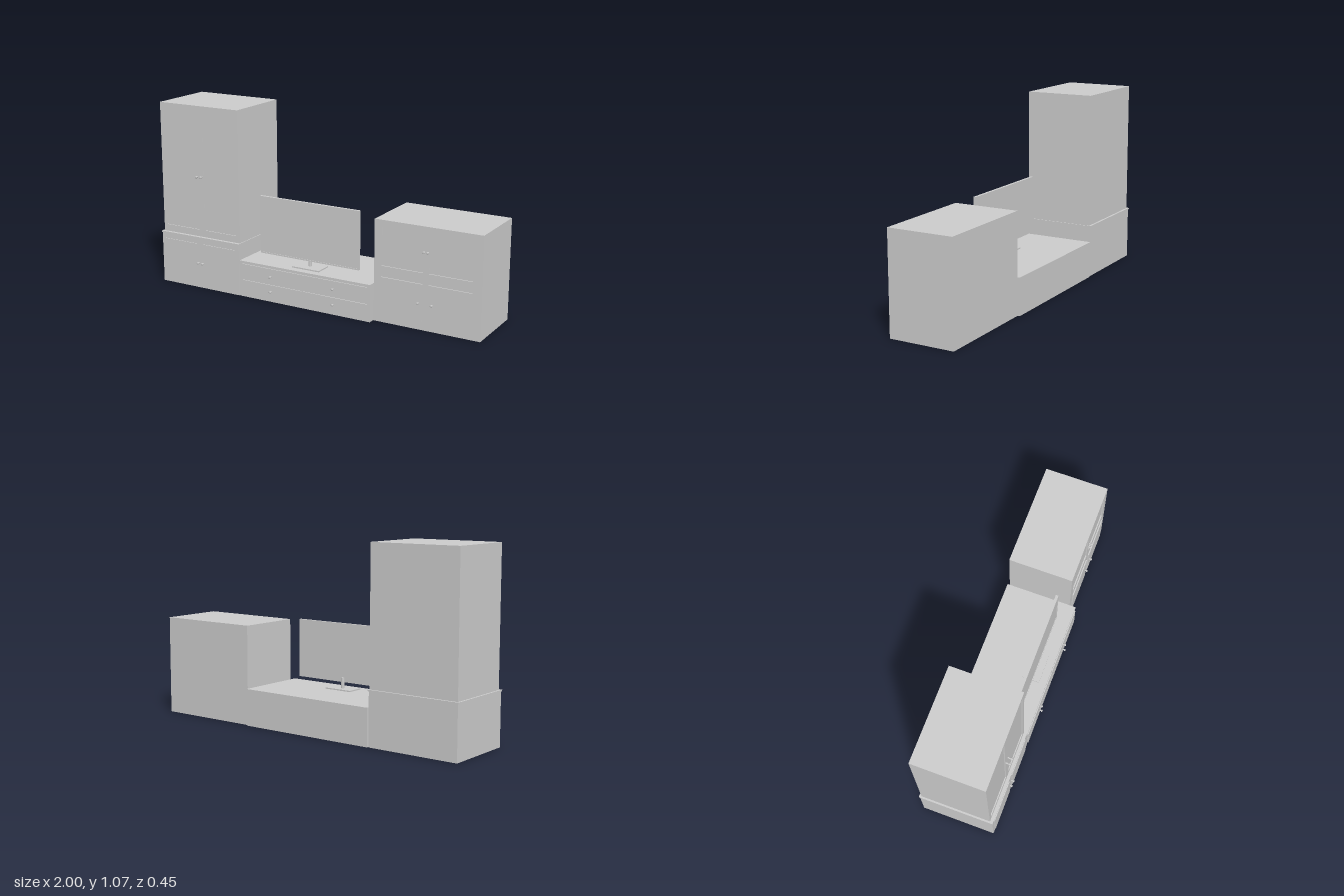
import * as THREE from 'three';

const grey = new THREE.MeshStandardMaterial({ color: 0xcccccc });

export function createModel() {
  const model = new THREE.Group();

  function add(parent, name, geometry) {
    const mesh = new THREE.Mesh(geometry, grey);
    mesh.name = name;
    parent.add(mesh);
    return mesh;
  }
  function group(name) {
    const g = new THREE.Group();
    g.name = name;
    model.add(g);
    return g;
  }
  // Box given by its minimum and maximum on each axis
  function box(parent, name, x0, x1, y0, y1, z0, z1) {
    const mesh = add(parent, name, new THREE.BoxGeometry(x1 - x0, y1 - y0, z1 - z0));
    mesh.position.set((x0 + x1) / 2, (y0 + y1) / 2, (z0 + z1) / 2);
    return mesh;
  }
  // Front plate with rectangular openings, each [x0, x1, y0, y1]
  function frame(parent, name, [x0, x1, y0, y1], openings, z0, z1) {
    const rect = (T, a, b, c, d) => new T([[a, c], [b, c], [b, d], [a, d]].map(p => new THREE.Vector2(...p)));
    const shape = rect(THREE.Shape, x0, x1, y0, y1);
    for (const o of openings) shape.holes.push(rect(THREE.Path, ...o));
    const mesh = add(parent, name, new THREE.ExtrudeGeometry(shape, { depth: z1 - z0, bevelEnabled: false }));
    mesh.position.z = z0;
  }
  // Turned knob: thin stem with a wider head, pointing to +z
  const knobProfile = [[0.004, 0], [0.004, 0.01], [0.007, 0.012], [0.007, 0.016], [0.005, 0.018], [0, 0.018]]
    .map(p => new THREE.Vector2(...p));
  const knobGeometry = new THREE.LatheGeometry(knobProfile, 16);
  knobGeometry.rotateX(Math.PI / 2);
  function knobs(parent, xs, y, z) {
    for (const x of xs) add(parent, 'knob', knobGeometry).position.set(x, y, z);
  }

  // Tall cabinet: base with raised doors, top with recessed door panels
  const tall = group('tallCabinet');
  const doorSpans = [[-0.97, -0.74], [-0.70, -0.485]];
  box(tall, 'tallBase', -0.995, -0.46, 0, 0.297, -0.218, 0.205);
  box(tall, 'tallBaseTop', -1, -0.455, 0.297, 0.305, -0.222, 0.208);
  for (const [a, b] of doorSpans) box(tall, 'baseDoor', a, b, 0.03, 0.265, 0.2, 0.21);
  box(tall, 'tallBody', -0.99, -0.46, 0.305, 1.065, -0.21, 0.184);
  frame(tall, 'tallFrontFrame', [-0.99, -0.46, 0.305, 1.065],
    doorSpans.map(([a, b]) => [a, b, 0.345, 1.03]), 0.184, 0.19);
  knobs(tall, [-0.735, -0.705], 0.15, 0.206);
  knobs(tall, [-0.735, -0.705], 0.66, 0.19 + 0.006);
  // Short backing stems that reach the frame
  for (const x of [-0.735, -0.705]) box(tall, 'knobStem', x - 0.003, x + 0.003, 0.657, 0.663, 0.188, 0.198);

  // Low media stand with four drawers
  const stand = group('mediaStand');
  box(stand, 'standBody', -0.453, 0.382, 0, 0.21, -0.223, 0.203);
  for (const [y0, y1, knobY] of [[0.02, 0.1, 0.062], [0.11, 0.195, 0.15]]) {
    box(stand, 'drawer', -0.435, -0.043, y0, y1, 0.195, 0.209);
    box(stand, 'drawer', -0.037, 0.365, y0, y1, 0.195, 0.209);
    knobs(stand, [-0.24, 0.16], knobY, 0.207);
  }

  // Flat screen on a plate and neck
  const tv = group('television');
  box(tv, 'screen', -0.36, 0.27, 0.25, 0.582, 0.109, 0.122);
  frame(tv, 'bezel', [-0.36, 0.27, 0.25, 0.582], [[-0.353, 0.263, 0.257, 0.575]], 0.122, 0.125);
  box(tv, 'standPlate', -0.13, 0.04, 0.21, 0.217, 0.06, 0.16);
  const neck = add(tv, 'neck', new THREE.CylinderGeometry(0.01, 0.01, 0.06, 16));
  neck.position.set(-0.047, 0.247, 0.105);

  // Side cabinet: recessed upper doors, raised lower doors
  const side = group('sideCabinet');
  const sideSpans = [[0.43, 0.67], [0.705, 0.95]];
  box(side, 'sideBody', 0.385, 1, 0, 0.567, -0.21, 0.158);
  frame(side, 'sideFrontFrame', [0.385, 1, 0, 0.567],
    sideSpans.map(([a, b]) => [a, b, 0.315, 0.54]), 0.158, 0.165);
  for (const [a, b] of sideSpans) box(side, 'lowerDoor', a, b, 0.04, 0.255, 0.16, 0.172);
  knobs(side, [0.677, 0.698], 0.43, 0.163);
  knobs(side, [0.65, 0.73], 0.15, 0.17);

  return model;
}
